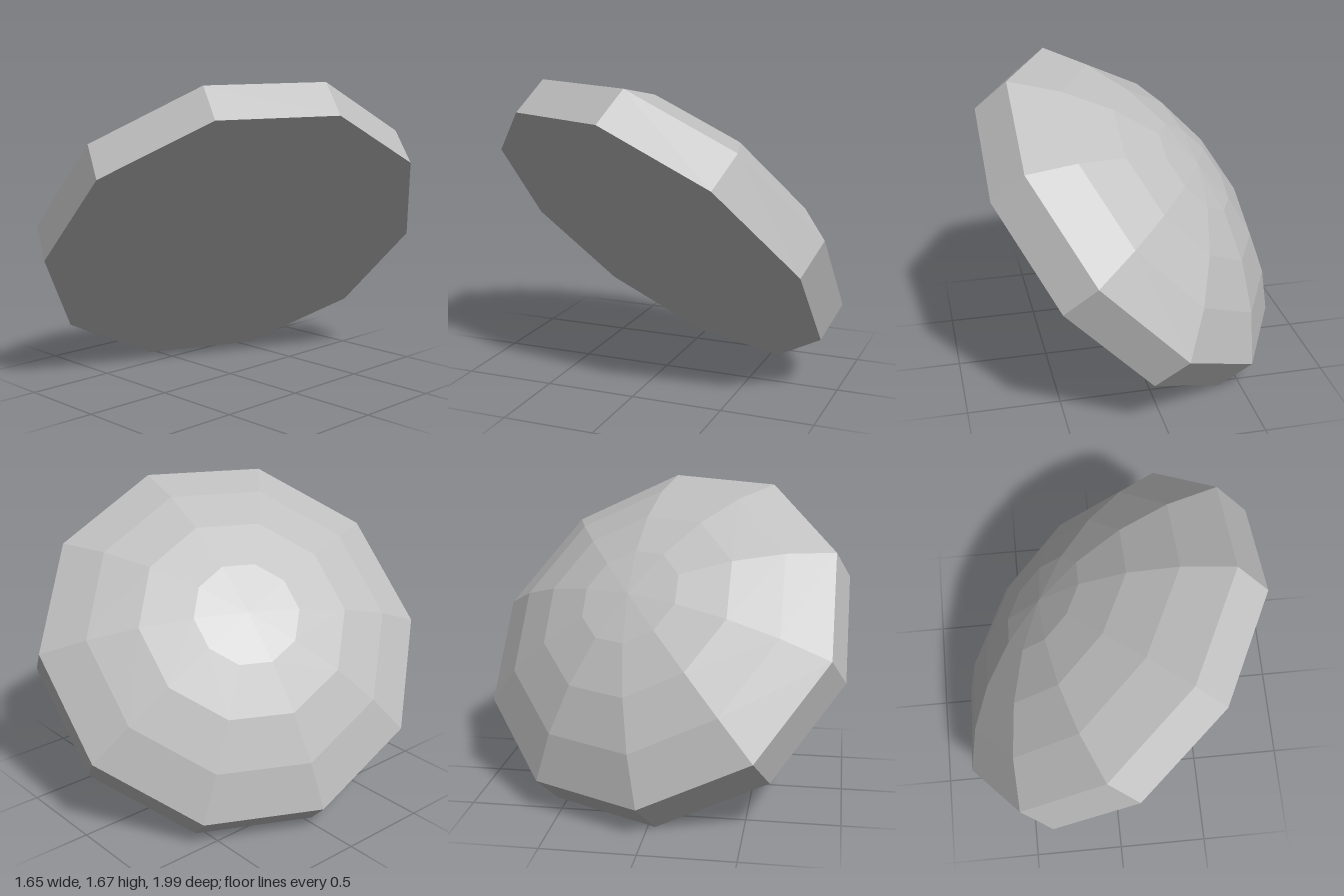
import * as THREE from 'three';

const SIDES = 10, RADIUS = 1.06, RIM = 0.24;

// Faceted solid of revolution from [radius, height] pairs, listed bottom to top
function facetedLathe(profile, name, material) {
  const points = profile.map(([r, h]) => new THREE.Vector2(r, h));
  const geometry = new THREE.LatheGeometry(points, SIDES).toNonIndexed();
  geometry.computeVertexNormals();
  const mesh = new THREE.Mesh(geometry, material);
  mesh.name = name;
  return mesh;
}

export function createModel() {
  const grey = new THREE.MeshStandardMaterial({ color: 0xc0c0c0, flatShading: true });
  grey.name = 'light grey';

  const disc = new THREE.Group();
  disc.name = 'domedDisc';

  // Flat base and straight rim
  disc.add(facetedLathe([[0, 0], [RADIUS, 0], [RADIUS, RIM]], 'baseAndRim', grey));

  // Shallow spherical cap in four rings
  const halfAngle = THREE.MathUtils.degToRad(40);
  const sphere = RADIUS / Math.sin(halfAngle);
  const cap = [];
  for (let i = 4; i >= 0; i--) {
    const a = (halfAngle * i) / 4;
    cap.push([sphere * Math.sin(a), RIM + sphere * (Math.cos(a) - Math.cos(halfAngle))]);
  }
  disc.add(facetedLathe(cap, 'dome', grey));

  // Tilt so the dome faces up, to the right and slightly back
  const across = new THREE.Vector3(0.734, 0.612, -0.292).normalize();
  const axis = new THREE.Vector3(0, 0.427, 0.905).cross(across).normalize();
  const forward = across.clone().cross(axis);
  disc.quaternion.setFromRotationMatrix(new THREE.Matrix4().makeBasis(across, axis, forward));
  disc.position.set(0.08, 0.762, 0.04);

  const model = new THREE.Group();
  model.name = 'model';
  model.add(disc);
  return model;
}
